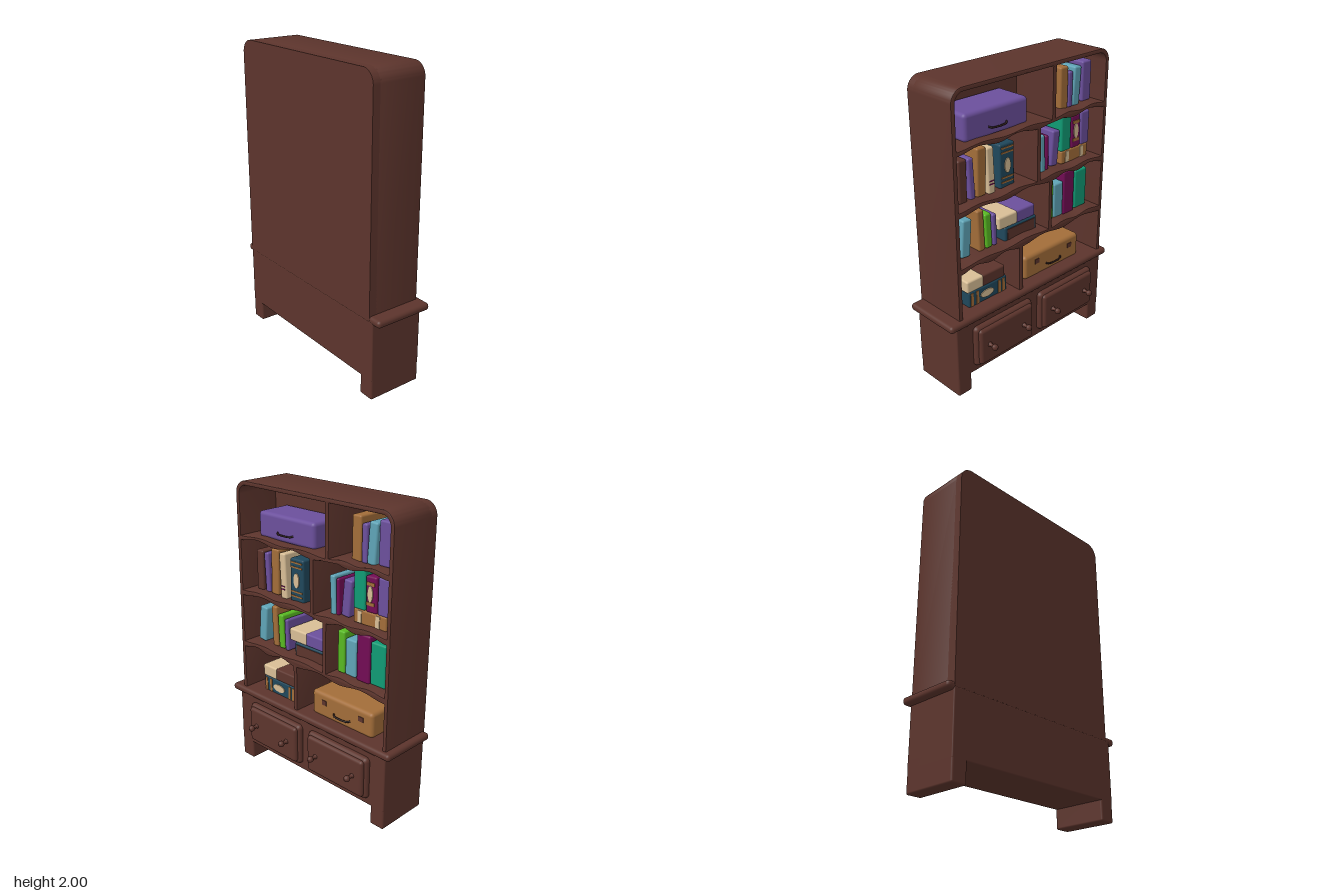
import * as THREE from 'three';
import { toCreasedNormals } from 'three/addons/utils/BufferGeometryUtils.js';
import { RoundedBoxGeometry } from 'three/addons/geometries/RoundedBoxGeometry.js';

const palette = {
  wood: 0x5c342c, purple: 0x6b4f9c, blue: 0x5fa4b6, green: 0x109a74, lime: 0x58b822,
  magenta: 0x720c54, tan: 0xa26d39, cream: 0xd8be96, navy: 0x1f475b, iron: 0x2e1d1c,
};
const mats = {};
for (const [name, color] of Object.entries(palette)) {
  mats[name] = new THREE.MeshStandardMaterial({ color });
  mats[name].name = name;
}

const BACK = -0.25, FRONT = 0.122, BOOK_BACK = -0.19, BOOK_FRONT = 0.05;

function add(group, name, geometry, color, x = 0, y = 0, z = 0) {
  const mesh = new THREE.Mesh(geometry, mats[color]);
  mesh.name = name;
  mesh.position.set(x, y, z);
  group.add(mesh);
  return mesh;
}

// Rounded block given by its extents
function block(group, name, color, x0, x1, y0, y1, z0, z1, r = 0.012, tilt = 0) {
  const geo = new RoundedBoxGeometry(x1 - x0, y1 - y0, z1 - z0, 3, r);
  const mesh = add(group, name, geo, color, (x0 + x1) / 2, (y0 + y1) / 2, (z0 + z1) / 2);
  mesh.rotation.z = tilt;
  return mesh;
}

// Thin painted plate on the front of a book
function plate(group, name, color, x0, x1, y0, y1, z = BOOK_FRONT) {
  add(group, name, new THREE.BoxGeometry(x1 - x0, y1 - y0, 0.008), color, (x0 + x1) / 2, (y0 + y1) / 2, z);
}

// Oval label on the front of a book
function label(group, x, y, rx, ry) {
  const geo = new THREE.CylinderGeometry(1, 1, 0.008, 16).rotateX(Math.PI / 2).scale(rx, ry, 1);
  add(group, 'bookLabel', geo, 'cream', x, y, BOOK_FRONT + 0.002);
}

// Outline of the upper case, with rounded top corners
function caseOutline() {
  const x0 = -0.63, x1 = 0.67, y0 = 0.53, y1 = 2, r = 0.085;
  const s = new THREE.Shape();
  s.moveTo(x0, y0);
  s.lineTo(x1, y0);
  s.lineTo(x1, y1 - r);
  s.absarc(x1 - r, y1 - r, r, 0, Math.PI / 2, false);
  s.lineTo(x0 + r, y1);
  s.absarc(x0 + r, y1 - r, r, Math.PI / 2, Math.PI, false);
  s.closePath();
  return s;
}

// Compartment opening with gently waved shelf edges
function opening(x0, x1, y0, y1, waveBottom, waveTop, rl = 0, rr = 0) {
  const n = 24, wave = t => -0.011 * Math.cos(4 * Math.PI * t);
  const pts = [];
  for (let i = 0; i <= n; i++) {
    const t = i / n;
    pts.push(new THREE.Vector2(x0 + (x1 - x0) * t, y0 + (waveBottom ? wave(t) * 0.6 : 0)));
  }
  const corner = (cx, a, r) => {
    for (let i = 0; i <= 6; i++) {
      const b = a + (i / 6) * Math.PI / 2;
      pts.push(new THREE.Vector2(cx + r * Math.cos(b), y1 - r + r * Math.sin(b)));
    }
  };
  if (waveTop) {
    for (let i = n; i >= 0; i--) pts.push(new THREE.Vector2(x0 + (x1 - x0) * i / n, y1 + wave(i / n)));
  } else {
    if (rr) corner(x1 - rr, 0, rr); else pts.push(new THREE.Vector2(x1, y1));
    if (rl) corner(x0 + rl, Math.PI / 2, rl); else pts.push(new THREE.Vector2(x0, y1));
  }
  return new THREE.Path(pts.reverse());
}

function buildCase() {
  const g = new THREE.Group();
  g.name = 'bookcase';
  // Frame, shelves and dividers
  const shape = caseOutline();
  const L = -0.6, R = 0.642;
  shape.holes.push(
    opening(L, 0.157, 1.65, 1.972, true, false, 0.06, 0), opening(0.188, R, 1.655, 1.972, true, false, 0, 0.06),
    opening(L, 0.03, 1.28, 1.625, true, true), opening(0.062, R, 1.28, 1.625, true, true),
    opening(L, 0.14, 0.912, 1.248, true, true), opening(0.17, R, 0.912, 1.248, true, true),
    opening(L, -0.122, 0.552, 0.877, false, true), opening(-0.09, R, 0.552, 0.877, false, true),
  );
  const b = 0.007;
  const frame = new THREE.ExtrudeGeometry(shape, {
    depth: FRONT - b + 0.2, bevelEnabled: true, bevelThickness: b, bevelSize: b, bevelOffset: -b,
    bevelSegments: 2, curveSegments: 8,
  });
  add(g, 'shelfFrame', toCreasedNormals(frame, 0.7), 'wood', 0, 0, -0.2);
  const back = new THREE.ExtrudeGeometry(caseOutline(), { depth: 0.06, bevelEnabled: false, curveSegments: 8 });
  add(g, 'backPanel', toCreasedNormals(back, 0.7), 'wood', 0, 0, BACK);

  // Base cabinet with full-depth side feet
  block(g, 'counterLedge', 'wood', -0.718, 0.715, 0.51, 0.558, BACK, 0.15, 0.022);
  block(g, 'baseCabinet', 'wood', -0.66, 0.67, 0.13, 0.53, BACK, 0.125, 0.008);
  block(g, 'leftFoot', 'wood', -0.66, -0.552, 0, 0.2, BACK, 0.125, 0.012);
  block(g, 'rightFoot', 'wood', 0.565, 0.67, 0, 0.2, BACK, 0.125, 0.012);

  // Drawers with turned knobs
  const profile = [[0.018, 0], [0.011, 0.012], [0.01, 0.03], [0.02, 0.038], [0.021, 0.05], [0.016, 0.062], [0, 0.067]];
  const knob = new THREE.LatheGeometry(profile.map(p => new THREE.Vector2(...p)), 16).rotateX(Math.PI / 2);
  for (const [x0, x1, knobs] of [[-0.532, -0.035, [-0.44, -0.14]], [0.035, 0.552, [0.135, 0.455]]]) {
    block(g, 'drawer', 'wood', x0, x1, 0.175, 0.467, 0.08, 0.16, 0.03);
    block(g, 'drawerPanel', 'wood', x0 + 0.018, x1 - 0.018, 0.193, 0.449, 0.1, 0.18, 0.022);
    for (const x of knobs) add(g, 'drawerKnob', knob, 'wood', x, 0.325, 0.178);
  }
  return g;
}

function buildBooks() {
  const g = new THREE.Group();
  g.name = 'books';
  // colour, left, right, bottom, top, tilt
  const books = [
    ['tan', 0.303, 0.373, 1.65, 1.92, 0], ['purple', 0.377, 0.418, 1.65, 1.88, 0],
    ['blue', 0.425, 0.488, 1.65, 1.9, -0.06], ['purple', 0.505, 0.588, 1.66, 1.92, 0],
    ['wood', -0.535, -0.472, 1.28, 1.55, 0], ['purple', -0.457, -0.415, 1.28, 1.545, 0.05],
    ['tan', -0.395, -0.325, 1.28, 1.585, -0.02], ['cream', -0.312, -0.257, 1.27, 1.57, 0.05],
    ['navy', -0.215, -0.095, 1.275, 1.56, 0],
    ['blue', 0.133, 0.175, 1.275, 1.525, 0.05], ['magenta', 0.182, 0.208, 1.28, 1.515, 0.02],
    ['purple', 0.235, 0.3, 1.29, 1.525, -0.09], ['tan', 0.325, 0.577, 1.277, 1.368, 0],
    ['green', 0.323, 0.412, 1.365, 1.62, 0], ['magenta', 0.417, 0.5, 1.365, 1.585, 0.03],
    ['purple', 0.508, 0.588, 1.365, 1.592, 0],
    ['blue', -0.525, -0.455, 0.92, 1.165, -0.09], ['tan', -0.398, -0.348, 0.915, 1.193, 0.04],
    ['lime', -0.338, -0.288, 0.915, 1.15, 0.05], ['purple', -0.278, -0.245, 0.912, 1.13, 0.03],
    ['navy', -0.18, 0.1, 0.9, 1.0, 0], ['cream', -0.23, -0.07, 1.0, 1.085, 0], ['purple', -0.08, 0.085, 1.0, 1.085, 0],
    ['lime', 0.2, 0.258, 0.912, 1.19, 0], ['blue', 0.265, 0.352, 0.912, 1.155, 0],
    ['magenta', 0.357, 0.46, 0.905, 1.215, 0], ['green', 0.467, 0.582, 0.915, 1.19, 0],
    ['navy', -0.49, -0.168, 0.55, 0.662, 0], ['cream', -0.5, -0.365, 0.66, 0.742, 0],
    ['wood', -0.375, -0.183, 0.66, 0.742, 0],
  ];
  for (const [c, x0, x1, y0, y1, tilt] of books) block(g, 'book', c, x0, x1, y0, y1, BOOK_BACK, BOOK_FRONT, 0.012, tilt);

  // Spine bands and labels
  for (const y of [1.315, 1.345, 1.505, 1.535]) plate(g, 'spineBand', 'tan', -0.205, -0.105, y - 0.005, y + 0.005);
  label(g, -0.155, 1.42, 0.024, 0.048);
  for (const x of [-0.465, -0.42, -0.235, -0.2]) plate(g, 'spineBand', 'tan', x - 0.01, x + 0.01, 0.56, 0.652);
  label(g, -0.34, 0.606, 0.055, 0.026);
  for (const x of [0.377, 0.515]) plate(g, 'spineBand', 'cream', x - 0.015, x + 0.015, 1.285, 1.36);
  label(g, 0.455, 1.48, 0.02, 0.05);
  for (const y of [1.42, 1.54]) plate(g, 'spineBand', 'tan', 0.428, 0.488, y - 0.01, y + 0.01);
  for (const y of [1.335, 1.355]) plate(g, 'spineBand', 'magenta', -0.3, -0.265, y - 0.003, y + 0.003);
  plate(g, 'coverPanel', 'wood', -0.16, 0.08, 0.912, 0.985);
  return g;
}

// Suitcase with a bowed handle
function suitcase(name, color, x0, x1, y0, y1, hx, hy) {
  const g = new THREE.Group();
  g.name = name;
  block(g, 'suitcaseBody', color, x0, x1, y0, y1, BOOK_BACK, 0.06, 0.025);
  const path = new THREE.CatmullRomCurve3([[-0.07, 0, 0], [-0.055, -0.005, 0.015], [0.055, -0.005, 0.015], [0.07, 0, 0]]
    .map(p => new THREE.Vector3(...p)));
  add(g, 'suitcaseHandle', new THREE.TubeGeometry(path, 16, 0.006, 8), 'iron', hx, hy, 0.06);
  return g;
}

export function createModel() {
  const model = new THREE.Group();
  model.name = 'bookcaseModel';
  const body = new THREE.Group();
  body.name = 'furnishedBookcase';
  body.add(buildCase(), buildBooks());
  body.add(suitcase('upperSuitcase', 'purple', -0.49, 0.01, 1.645, 1.815, -0.24, 1.703));
  const lower = suitcase('lowerSuitcase', 'tan', -0.012, 0.507, 0.55, 0.722, 0.255, 0.61);
  for (const x of [0.1, 0.415]) plate(lower, 'suitcaseClasp', 'wood', x - 0.02, x + 0.02, 0.642, 0.675, 0.06);
  body.add(lower);
  // The bookcase opens towards +x
  body.rotation.y = Math.PI / 2;
  model.add(body);
  return model;
}
